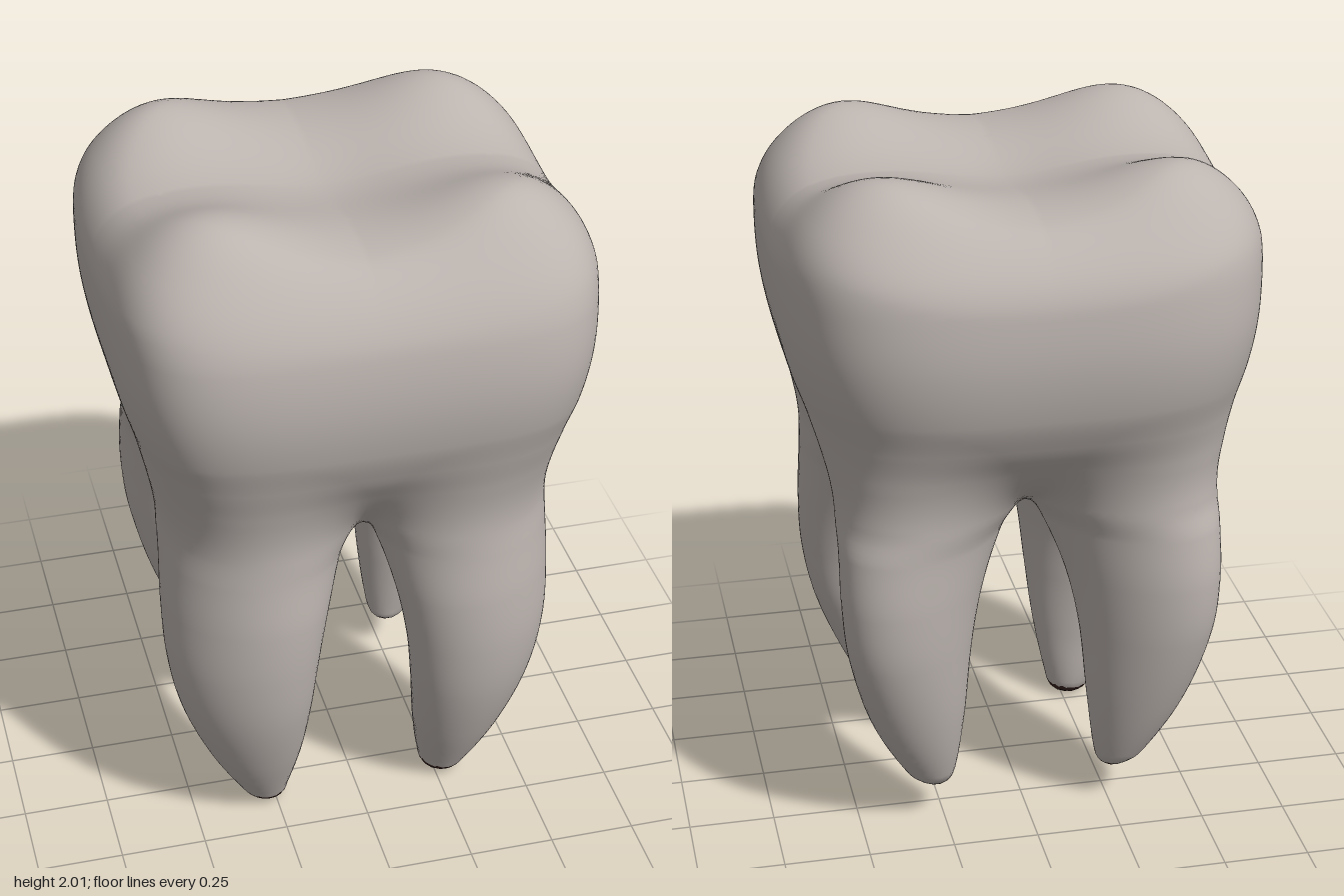
import * as THREE from 'three';

// Cross-section profiles, bottom to top.
// Roots: [y, inner x, outer x, inner z, outer z, diagonal stretch]
const FRONT_ROOT = [
  [0, .262, .278, .31, .33, 0], [.015, .222, .325, .262, .38, 0], [.06, .205, .362, .236, .412, 0],
  [.23, .175, .455, .225, .49, -.1], [.42, .155, .53, .215, .55, -.18], [.6, .135, .565, .2, .577, -.2],
  [.78, .1, .572, .15, .582, -.17], [.94, .05, .567, .07, .57, -.07], [1.03, 0, .566, 0, .566, 0],
  [1.35, -.02, .56, -.02, .56, .1],
];
const BACK_ROOT = [
  [.1, .262, .278, .295, .315, 0], [.115, .23, .315, .26, .347, 0], [.16, .212, .36, .246, .388, .05],
  [.36, .185, .465, .218, .468, .15], [.6, .16, .532, .192, .528, .27], [.78, .12, .55, .15, .543, .32],
  [.94, .055, .55, .08, .535, .32], [1.03, 0, .55, 0, .53, .25], [1.35, -.02, .55, -.02, .53, .2],
];
// Crown: [y, half width, front depth, back depth]
const CROWN = [
  [1, .49, .49, .46], [1.1, .525, .525, .495], [1.2, .562, .565, .54], [1.3, .605, .615, .598],
  [1.4, .641, .65, .64], [1.55, .67, .667, .664], [1.7, .678, .652, .658],
  [1.8, .672, .615, .635], [1.9, .645, .555, .575], [2, .57, .48, .5], [2.1, .43, .36, .38],
];

// Smooth interpolation of a profile row at height y
function profileAt(rows, y) {
  const last = rows.length - 1;
  if (y <= rows[0][0]) return rows[0];
  if (y >= rows[last][0]) return rows[last];
  let i = 0;
  while (rows[i + 1][0] < y) i++;
  const a = rows[i], b = rows[i + 1], p = rows[Math.max(i - 1, 0)], n = rows[Math.min(i + 2, last)];
  const h = b[0] - a[0], t = (y - a[0]) / h, t2 = t * t, t3 = t2 * t;
  return a.map((v, c) => {
    const m0 = (b[c] - p[c]) / (b[0] - p[0]) * h, m1 = (n[c] - v) / (n[0] - a[0]) * h;
    return (2 * t3 - 3 * t2 + 1) * v + (t3 - 2 * t2 + t) * m0 + (3 * t2 - 2 * t3) * b[c] + (t3 - t2) * m1;
  });
}

// Soft union and soft intersection
function blend(a, b, k) {
  const h = Math.max(k - Math.abs(a - b), 0) / k;
  return Math.min(a, b) - h * h * k / 4;
}
const cut = (a, b, k) => -blend(-a, -b, k);
const bell = (d, width) => Math.exp(-((d / width) ** 2));

// One root in its own quadrant, an oval stretched along the diagonal
function rootField(row, tipY, x, y, z) {
  const a = (row[2] - row[1]) / 2, b = (row[4] - row[3]) / 2, skew = row[5];
  const u = (x - row[1] - a) / a, v = (z - row[3] - b) / b;
  const q = Math.sqrt((u * u + v * v - 2 * skew * u * v) / (1 - skew * skew));
  const side = Math.max((q - 1) * Math.min(a, b), tipY - y);
  return cut(side, y - 1.3, 0.15);
}

// Rounded square crown with four domed cusps around a shallow pit
function crownField(x, y, z) {
  const row = profileAt(CROWN, y);
  const n = z > 0 ? 4.6 : 3.6;
  const q = (Math.abs(x / row[1]) ** n + Math.abs(z / (z > 0 ? row[2] : row[3])) ** n) ** (1 / n);
  const cusps = bell(Math.abs(x) - 0.43, 0.26) * bell(Math.abs(z) - 0.35, 0.21);
  const rim = (x / 0.67) ** 6 + (z / 0.65) ** 6;
  const top = 1.915 + 0.1 * cusps - 0.04 * bell(Math.hypot(x, z), 0.22) - 0.1 * rim;
  const side = cut((q - 1) * 0.6, 1.08 - y, 0.2);
  return cut(side, y - top, 0.1);
}

// Whole tooth: negative inside, positive outside
function field(x, y, z) {
  const front = profileAt(FRONT_ROOT, y), back = profileAt(BACK_ROOT, y);
  let roots = 10;
  for (const s of [1, -1]) {
    roots = blend(roots, rootField(front, 0, s * x, y, z), 0.08);
    roots = blend(roots, rootField(back, 0.1, s * x, y, -z), 0.08);
  }
  return blend(roots, crownField(x, y, z), 0.12);
}

function gradient(p) {
  const e = 0.002;
  return new THREE.Vector3(
    field(p.x + e, p.y, p.z) - field(p.x - e, p.y, p.z),
    field(p.x, p.y + e, p.z) - field(p.x, p.y - e, p.z),
    field(p.x, p.y, p.z + e) - field(p.x, p.y, p.z - e),
  ).divideScalar(2 * e);
}

// Quad skin over the field: one point per crossed grid cell, pulled onto the surface
function buildSkin() {
  const step = 0.02, size = [78, 106, 78], origin = [-0.7675, -0.05, -0.7675];
  const stride = [1, size[0], size[0] * size[1]];
  const total = size[0] * size[1] * size[2];
  const values = new Float32Array(total), pointOf = new Int32Array(total).fill(-1);
  const positions = [], normals = [], quads = [];
  const coords = (i) => [i % size[0], Math.floor(i / stride[1]) % size[1], Math.floor(i / stride[2])];
  for (let i = 0; i < total; i++) {
    values[i] = field(...coords(i).map((c, a) => origin[a] + c * step));
  }

  for (let i = 0; i < total; i++) {
    const c = coords(i);
    if (c.some((v, a) => v >= size[a] - 1)) continue;
    const sum = [0, 0, 0];
    let count = 0;
    for (let corner = 0; corner < 8; corner++) {
      const bits = [corner & 1, (corner >> 1) & 1, corner >> 2];
      const from = i + bits[0] + bits[1] * stride[1] + bits[2] * stride[2];
      for (let a = 0; a < 3; a++) {
        if (bits[a]) continue;
        const v0 = values[from], v1 = values[from + stride[a]];
        if ((v0 < 0) === (v1 < 0)) continue;
        bits.forEach((b, d) => { sum[d] += b + (d === a ? v0 / (v0 - v1) : 0); });
        count++;
      }
    }
    if (!count) continue;
    const p = new THREE.Vector3(...c.map((v, a) => origin[a] + (v + sum[a] / count) * step));
    for (let k = 0; k < 3; k++) {
      const g = gradient(p);
      const move = g.multiplyScalar(-field(p.x, p.y, p.z) / Math.max(g.lengthSq(), 0.05));
      p.add(move.clampLength(0, 0.01));
    }
    pointOf[i] = positions.length / 3;
    positions.push(p.x, p.y, p.z);
    normals.push(...gradient(p).normalize().toArray());
  }

  for (let i = 0; i < total; i++) {
    const c = coords(i);
    for (let a = 0; a < 3; a++) {
      const b = (a + 1) % 3, d = (a + 2) % 3;
      if (c[a] >= size[a] - 1 || !c[b] || !c[d]) continue;
      const inside = values[i] < 0;
      if (inside === (values[i + stride[a]] < 0)) continue;
      const quad = [i, i - stride[b], i - stride[b] - stride[d], i - stride[d]].map((k) => pointOf[k]);
      if (quad.includes(-1)) continue;
      quads.push(inside ? quad : quad.reverse());
    }
  }
  return { positions, normals, quads };
}

export function createModel() {
  const enamel = new THREE.MeshStandardMaterial({ color: 0xbcb4af });
  enamel.name = 'enamel';
  const darkTip = new THREE.MeshStandardMaterial({ color: 0x38231f });
  darkTip.name = 'darkTip';

  const { positions, normals, quads } = buildSkin();
  const position = new THREE.Float32BufferAttribute(positions, 3);
  const normal = new THREE.Float32BufferAttribute(normals, 3);

  // Sort the skin into crown, roots and the dark root ends
  const parts = { crown: [], roots: [], rootTips: [] };
  for (const q of quads) {
    for (const triangle of [[q[0], q[1], q[2]], [q[0], q[2], q[3]]]) {
      const y = triangle.reduce((s, i) => s + position.getY(i), 0) / 3;
      const tipTop = position.getZ(q[0]) > 0 ? 0.042 : 0.124;
      const part = y < tipTop ? 'rootTips' : y < 1.05 ? 'roots' : 'crown';
      parts[part].push(...triangle);
    }
  }

  const tooth = new THREE.Group();
  tooth.name = 'tooth';
  for (const [name, index] of Object.entries(parts)) {
    const geometry = new THREE.BufferGeometry();
    geometry.setAttribute('position', position);
    geometry.setAttribute('normal', normal);
    geometry.setIndex(index);
    const mesh = new THREE.Mesh(geometry, name === 'rootTips' ? darkTip : enamel);
    mesh.name = name;
    tooth.add(mesh);
  }
  return tooth;
}
